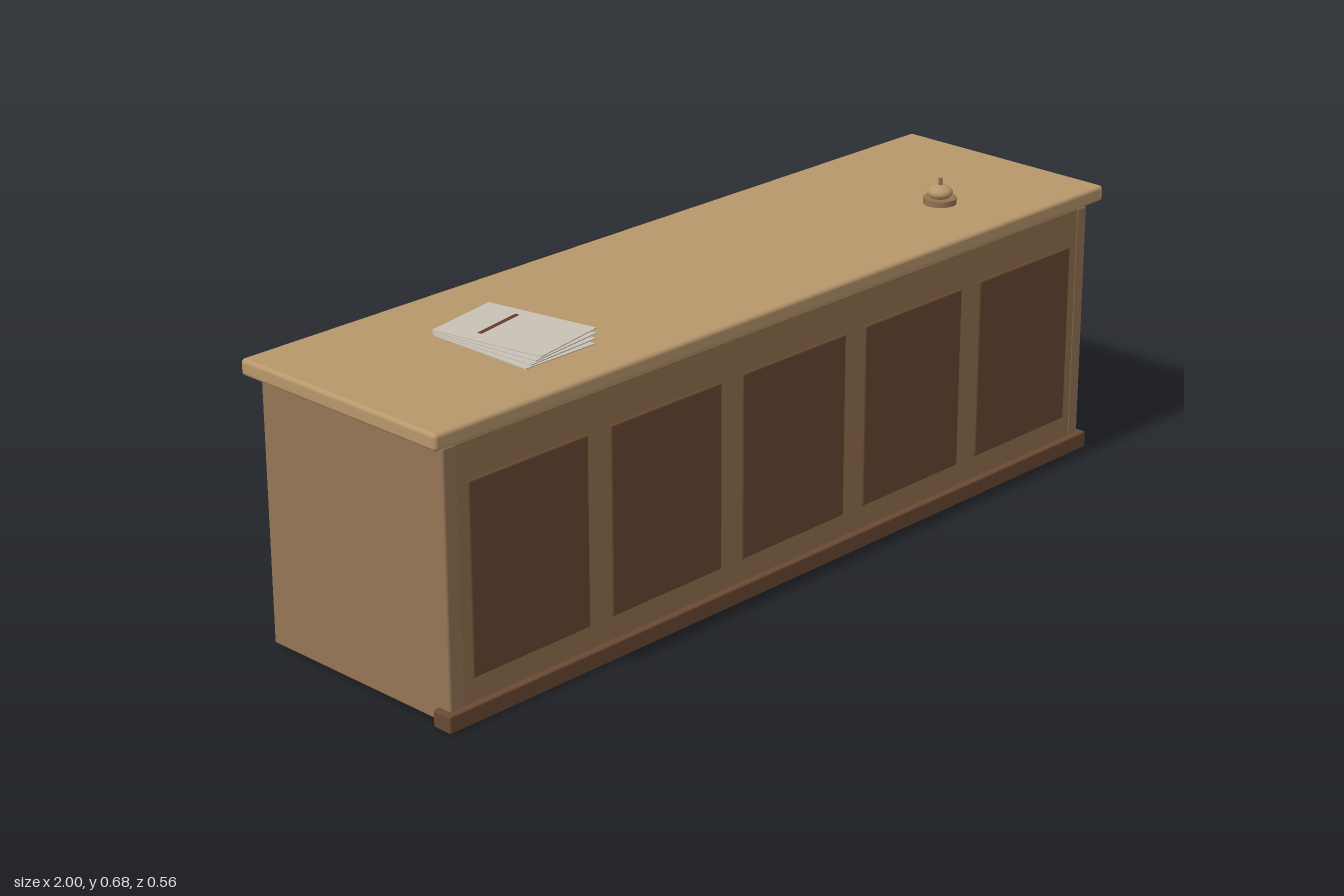
import * as THREE from 'three';
import { RoundedBoxGeometry } from 'three/addons/geometries/RoundedBoxGeometry.js';

const material = (name, color) => {
  const m = new THREE.MeshStandardMaterial({ color });
  m.name = name;
  return m;
};

export function createModel() {
  const desk = new THREE.Group();
  desk.name = 'receptionDesk';

  const lightOak = material('lightOak', 0xb8976c);
  const oak = material('oak', 0x94734f);
  const sideOak = material('sideOak', 0x967556);
  const darkWood = material('darkWood', 0x6a4a34);
  const brass = material('brass', 0xb8966a);
  const paper = material('paper', 0xc9c1b5);
  const ink = material('ink', 0x6a3a2c);

  const add = (name, geometry, mat, x, y, z, parent = desk) => {
    const mesh = new THREE.Mesh(geometry, mat);
    mesh.name = name;
    mesh.position.set(x, y, z);
    parent.add(mesh);
    return mesh;
  };
  // Rounded board given by its extents on each axis
  const board = (name, mat, [x0, x1], [y0, y1], [z0, z1], radius) =>
    add(name, new RoundedBoxGeometry(x1 - x0, y1 - y0, z1 - z0, 3, radius), mat,
      (x0 + x1) / 2, (y0 + y1) / 2, (z0 + z1) / 2);

  // Carcass: floating top, two sides, front board and plinth
  board('counterTop', lightOak, [-1, 1], [0.59, 0.626], [-0.281, 0.281], 0.009);
  board('leftSide', sideOak, [0.931, 0.966], [0.008, 0.583], [-0.262, 0.262], 0.005);
  board('rightSide', sideOak, [-0.966, -0.931], [0.008, 0.583], [-0.262, 0.262], 0.005);
  board('frontBoard', oak, [-0.935, 0.935], [0.008, 0.583], [0.228, 0.261], 0.003);
  board('plinth', darkWood, [-0.98, 0.98], [0, 0.038], [0.228, 0.276], 0.004);

  // Five raised front panels
  for (let i = -2; i <= 2; i++) {
    const x = i * 0.375;
    board('frontPanel', darkWood, [x - 0.157, x + 0.157], [0.09, 0.501], [0.248, 0.266], 0.004);
  }

  // Fanned stack of papers with a written line on the top sheet
  const papers = new THREE.Group();
  papers.name = 'papers';
  desk.add(papers);
  const sheet = new THREE.BoxGeometry(0.187, 0.002, 0.264);
  for (let i = 0; i < 4; i++) {
    const t = i / 3;
    const page = add('sheet', sheet, paper, -0.566 + 0.022 * t, 0.6275 + i * 0.0033, 0.032 - 0.022 * t, papers);
    page.rotation.y = 0.185 * t;
  }
  const line = add('writtenLine', new THREE.BoxGeometry(0.125, 0.001, 0.009), ink, -0.548, 0.639, -0.032, papers);
  line.rotation.y = 0.185;

  // Service bell
  const bell = new THREE.Group();
  bell.name = 'bell';
  bell.position.set(0.655, 0.626, 0.095);
  desk.add(bell);
  add('bellBase', new THREE.CylinderGeometry(0.037, 0.037, 0.013, 32), oak, 0, 0.0065, 0, bell);
  const dome = add('bellDome', new THREE.SphereGeometry(0.028, 32, 20), brass, 0, 0.025, 0, bell);
  dome.scale.y = 0.6;
  add('bellButton', new THREE.CylinderGeometry(0.0045, 0.0045, 0.02, 16), oak, 0, 0.047, 0, bell);

  return desk;
}
